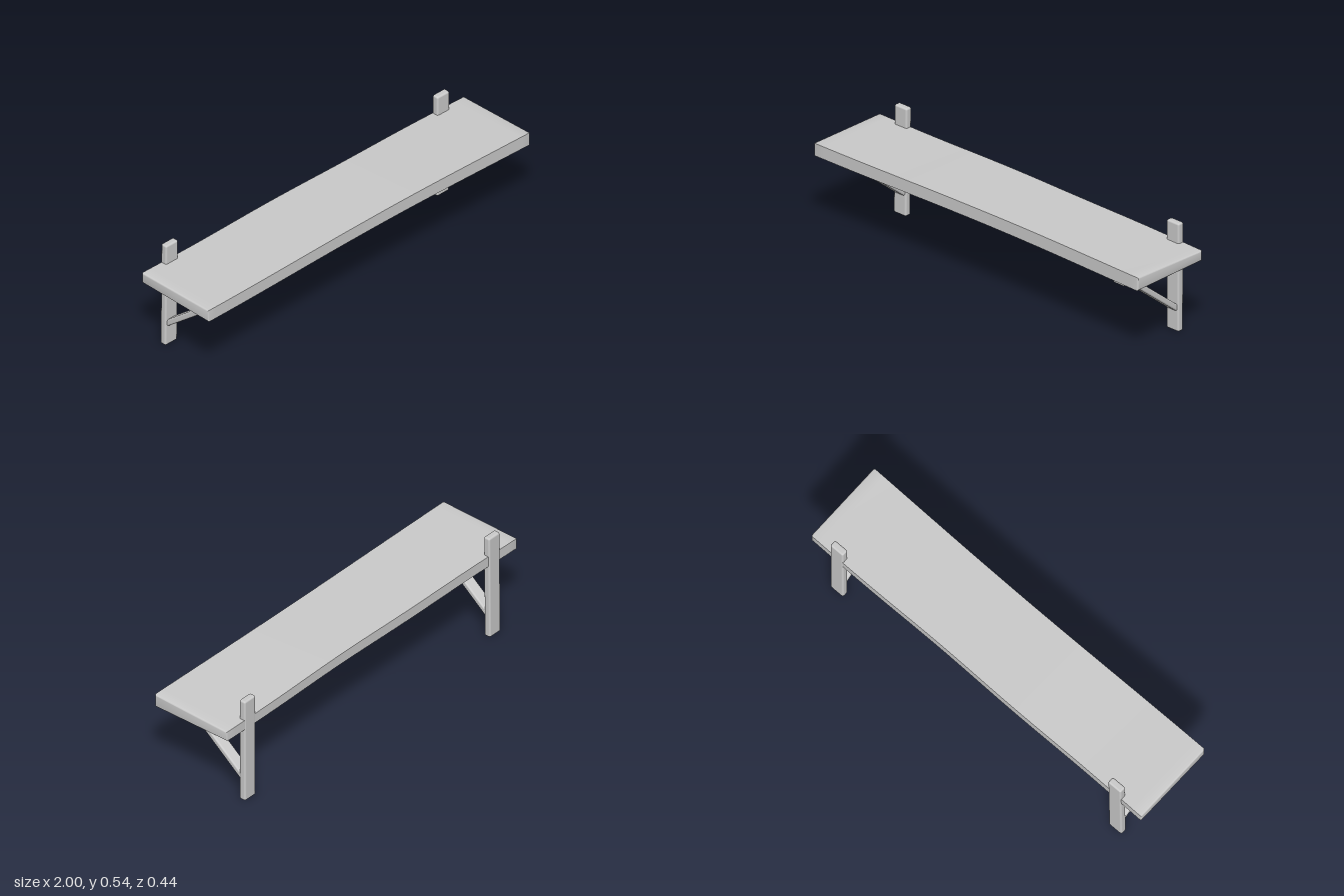
import * as THREE from 'three';
import { toCreasedNormals } from 'three/addons/utils/BufferGeometryUtils.js';
import { RoundedBoxGeometry } from 'three/addons/geometries/RoundedBoxGeometry.js';

const material = new THREE.MeshStandardMaterial({ color: 0xcccccc });

function part(name, geometry, parent) {
  const mesh = new THREE.Mesh(geometry, material);
  mesh.name = name;
  parent.add(mesh);
  return mesh;
}

// Move every vertex by a rule
function warp(geometry, rule) {
  const pos = geometry.attributes.position;
  const v = new THREE.Vector3();
  for (let i = 0; i < pos.count; i++) {
    rule(v.fromBufferAttribute(pos, i));
    pos.setXYZ(i, v.x, v.y, v.z);
  }
  return geometry;
}

// Slightly bowed, worn plank running along x
function plankGeometry() {
  const bevel = 0.008, w = 0.211 - bevel, h = 0.029 - bevel;
  const section = new THREE.Shape([
    new THREE.Vector2(-w, -h), new THREE.Vector2(w, -h),
    new THREE.Vector2(w, h), new THREE.Vector2(-w, h),
  ]);
  const geometry = new THREE.ExtrudeGeometry(section, {
    depth: 2 - 2 * bevel, steps: 40,
    bevelSize: bevel, bevelThickness: bevel, bevelSegments: 3,
  });
  geometry.translate(0, 0, -1 + bevel).rotateY(Math.PI / 2);
  warp(geometry, (v) => {
    const front = v.z > 0;
    const bow = Math.cos((v.x - 0.15) * 2.6);
    // the top falls a little towards the back, most at the left end
    if (v.y > 0) v.y += v.z * 0.02 * (1 + Math.max(0, v.x));
    v.y += 0.422 + 0.004 * bow;
    v.z += 0.0065 * v.x + (front ? -0.006 * bow : 0.002 * Math.sin(v.x * 7));
  });
  return toCreasedNormals(geometry, 0.7);
}

// Wall bracket: upright post, horizontal arm and diagonal brace
function bracket(side) {
  const group = new THREE.Group();
  group.name = side > 0 ? 'leftBracket' : 'rightBracket';

  const post = part('post', new RoundedBoxGeometry(0.076, 0.542, 0.034, 3, 0.009), group);
  post.position.set(0, 0.271, -0.198);
  warp(post.geometry, (v) => { v.x += side * -0.01 * v.y * (side > 0 ? 0.3 : -1) * -1; });

  const arm = part('arm', new RoundedBoxGeometry(0.068, 0.045, 0.365, 3, 0.008), group);
  arm.position.set(0, 0.377, -0.01);

  const from = new THREE.Vector2(-0.19, 0.113), to = new THREE.Vector2(0.125, 0.369);
  const run = to.clone().sub(from);
  const brace = part('brace', new RoundedBoxGeometry(0.06, 0.028, run.length(), 3, 0.008), group);
  brace.position.set(0, (from.y + to.y) / 2, (from.x + to.x) / 2);
  brace.rotation.x = -run.angle();

  group.position.set(0.842 * side, 0, 0.0065 * side);
  return group;
}

export function createModel() {
  const model = new THREE.Group();
  model.name = 'wallShelf';
  part('shelfBoard', plankGeometry(), model);
  for (const side of [-1, 1]) model.add(bracket(side));
  return model;
}
